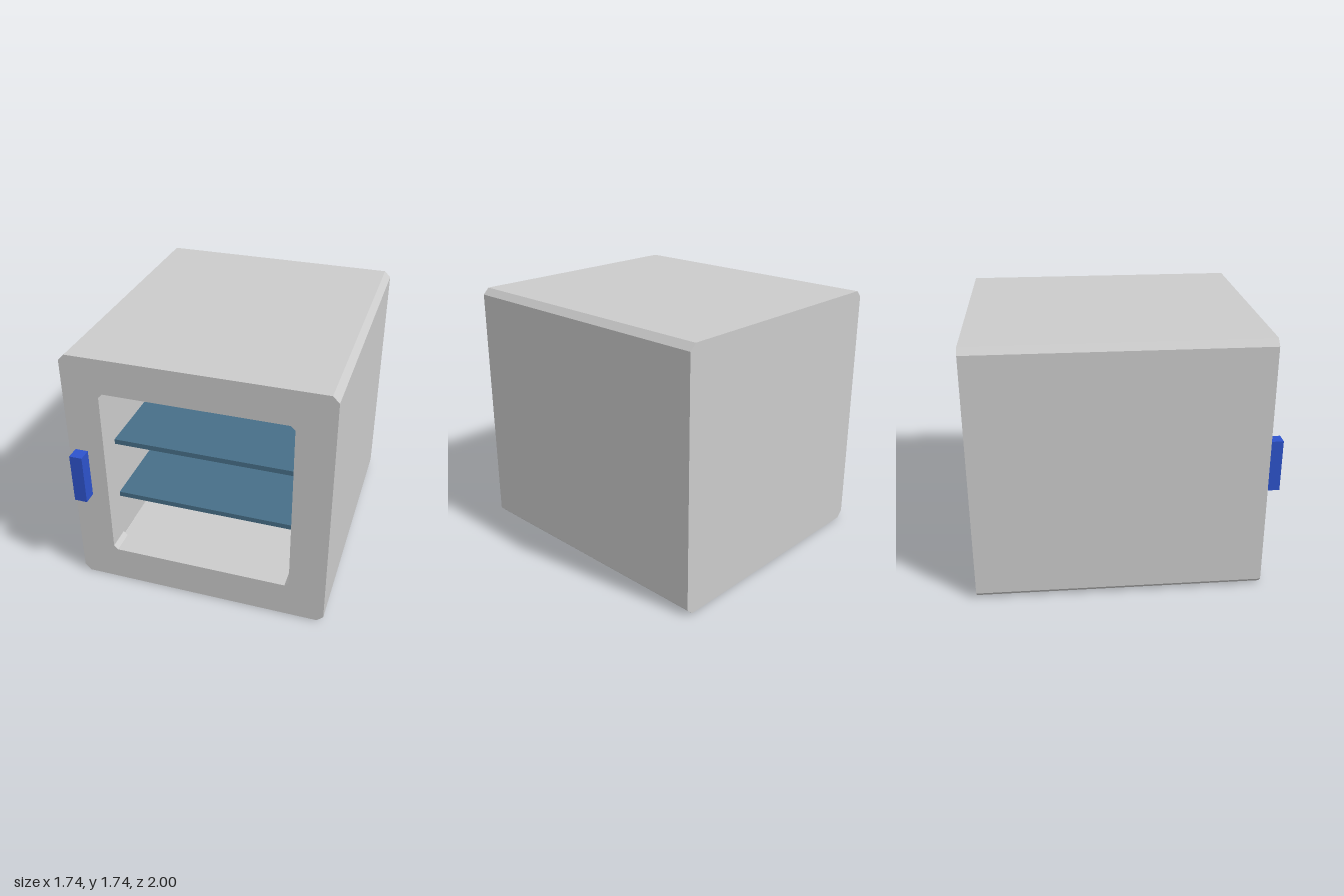
import * as THREE from 'three';

// Rectangle outline with cut corners
function outline(target, w, y0, y1, c) {
  const pts = [
    [-w + c, y0], [w - c, y0], [w, y0 + c], [w, y1 - c],
    [w - c, y1], [-w + c, y1], [-w, y1 - c], [-w, y0 + c],
  ];
  return target.setFromPoints(pts.map(([x, y]) => new THREE.Vector2(x, y)));
}

export function createModel() {
  const group = new THREE.Group();
  const material = (name, color) => {
    const m = new THREE.MeshStandardMaterial({ color });
    m.name = name;
    return m;
  };
  const grey = material('light grey', 0xcbcbcb);
  const teal = material('shelf blue', 0x476f88);
  const blue = material('handle blue', 0x2d53cc);

  const add = (name, geometry, mat, x = 0, y = 0, z = 0) => {
    const mesh = new THREE.Mesh(geometry, mat);
    mesh.name = name;
    mesh.position.set(x, y, z);
    group.add(mesh);
  };

  const FRONT = 0.91, LIP = 0.75, BACK_WALL = -0.76, BACK = -1;

  // Slab of the cabinet section between two depths, optionally with an opening
  const slab = (name, z0, z1, holeChamfer) => {
    const shape = outline(new THREE.Shape(), 0.87, 0, 1.74, 0.042);
    if (holeChamfer !== undefined) {
      shape.holes.push(outline(new THREE.Path(), 0.625, 0.25, 1.5, holeChamfer));
    }
    const geometry = new THREE.ExtrudeGeometry(shape, { depth: z1 - z0, bevelEnabled: false });
    add(name, geometry, grey, 0, 0, z0);
  };

  slab('doorFrame', LIP, FRONT, 0.028);
  slab('cabinetWalls', BACK_WALL, LIP, 0.001);
  slab('backWall', BACK, BACK_WALL);

  // Two shelves from the door frame to the back wall
  for (const [name, y] of [['lowerShelf', 0.613], ['upperShelf', 1.046]]) {
    add(name, new THREE.BoxGeometry(1.25, 0.035, LIP - BACK_WALL), teal, 0, y, (LIP + BACK_WALL) / 2);
  }

  // Handle on the front
  add('handle', new THREE.BoxGeometry(0.087, 0.35, 0.09), blue, -0.785, 0.875, 0.955);

  return group;
}
